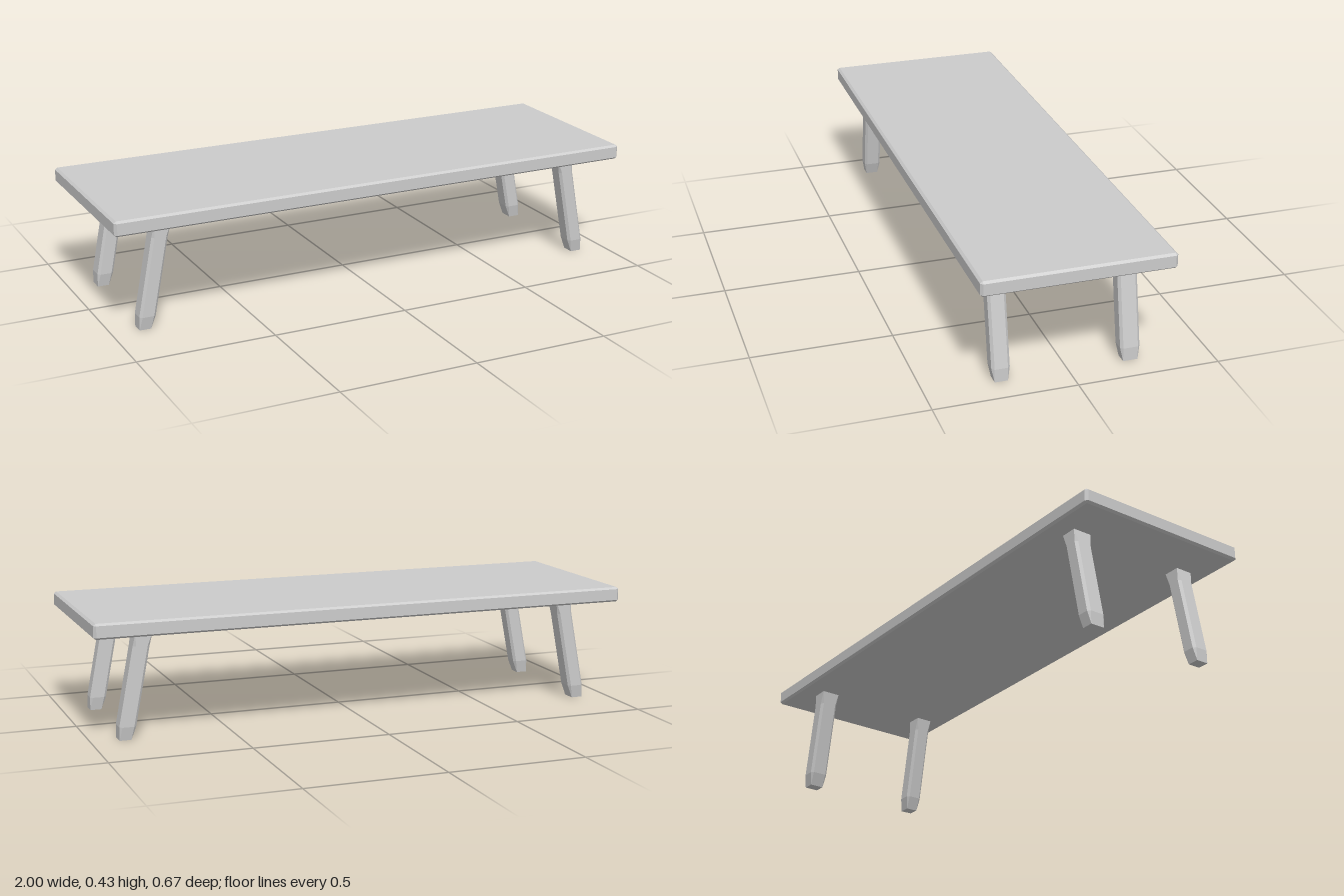
import * as THREE from 'three';

const material = new THREE.MeshStandardMaterial({ color: 0xcccccc, flatShading: true });

// Rectangle with its corners cut off by c (c = 0 gives a plain rectangle)
function ring({ y, x = 0, z = 0, hx, hz, c }) {
  return [
    [hx, hz - c], [hx - c, hz], [c - hx, hz], [-hx, hz - c],
    [-hx, c - hz], [c - hx, -hz], [hx - c, -hz], [hx, c - hz],
  ].map(([px, pz]) => new THREE.Vector3(x + px, y, z + pz));
}

// Faceted solid through rings listed from bottom to top, closed at both ends
function loft(sections) {
  const rings = sections.map(ring);
  const points = [];
  const tri = (a, b, c) => {
    const area = new THREE.Triangle(a, b, c).getArea();
    if (area > 1e-9) points.push(a, b, c);
  };
  for (let r = 0; r < rings.length - 1; r++) {
    for (let i = 0; i < 8; i++) {
      const j = (i + 1) % 8;
      const [a, b, c, d] = [rings[r][i], rings[r][j], rings[r + 1][i], rings[r + 1][j]];
      tri(a, c, b);
      tri(b, c, d);
    }
  }
  const bottom = rings[0], top = rings[rings.length - 1];
  for (let i = 1; i < 7; i++) {
    tri(bottom[0], bottom[i], bottom[i + 1]);
    tri(top[0], top[i + 1], top[i]);
  }
  const geometry = new THREE.BufferGeometry().setFromPoints(points);
  geometry.computeVertexNormals();
  return geometry;
}

function addPart(group, name, sections) {
  const mesh = new THREE.Mesh(loft(sections), material);
  mesh.name = name;
  group.add(mesh);
}

export function createModel() {
  const group = new THREE.Group();
  group.name = 'lowTable';

  // Slab with bevelled edges
  const b = 0.009;
  addPart(group, 'tableTop', [
    { y: 0.378, hx: 1 - b, hz: 0.336 - b, c: 0 },
    { y: 0.385, hx: 1, hz: 0.336, c: b },
    { y: 0.426, hx: 1, hz: 0.336, c: b },
    { y: 0.433, hx: 1 - b, hz: 0.336 - b, c: 0 },
  ]);

  // Splayed legs: square at the top, chamfered shaft, tapered foot
  const legRows = [
    { row: 'front', z: 0.235, hz: 0.032 },
    { row: 'back', z: -0.222, hz: 0.035 },
  ];
  for (const { row, z, hz } of legRows) {
    for (const side of [-1, 1]) {
      const at = (y, inset, c) => ({
        y, x: side * (0.881 - 0.193 * y), z, hx: 0.03 - inset, hz: hz - inset, c,
      });
      addPart(group, row + (side > 0 ? 'Left' : 'Right') + 'Leg', [
        at(0, 0.009, 0), at(0.048, 0, 0.009), at(0.33, 0, 0.009), at(0.38, 0, 0),
      ]);
    }
  }
  return group;
}
